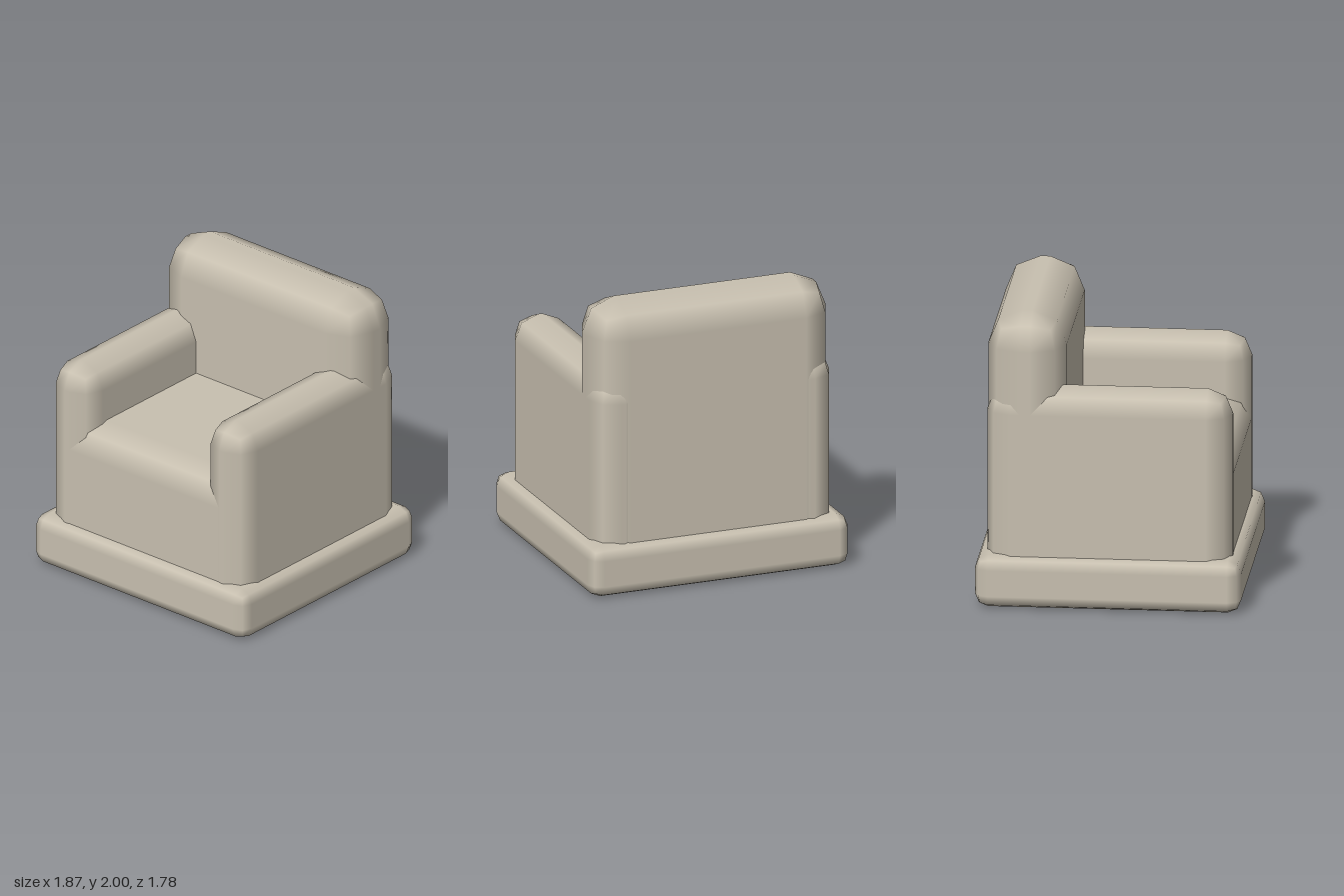
import * as THREE from 'three';
import { RoundedBoxGeometry } from 'three/addons/geometries/RoundedBoxGeometry.js';

export function createModel() {
  const group = new THREE.Group();
  group.name = 'armchair';
  const fabric = new THREE.MeshStandardMaterial({ color: 0xc8c0b0 });
  fabric.name = 'beige fabric';

  // Soft block given by its extents; one segment gives two facets per rounded edge
  function block(name, [x0, x1], [y0, y1], [z0, z1], radius) {
    const geometry = new RoundedBoxGeometry(x1 - x0, y1 - y0, z1 - z0, 1, radius);
    const mesh = new THREE.Mesh(geometry, fabric);
    mesh.name = name;
    mesh.position.set((x0 + x1) / 2, (y0 + y1) / 2, (z0 + z1) / 2);
    group.add(mesh);
  }

  block('base', [-0.935, 0.935], [0, 0.36], [-0.89, 0.89], 0.09);
  block('seat', [-0.855, 0.855], [0.1, 1.1], [-0.78, 0.817], 0.2);
  block('backrest', [-0.862, 0.862], [0.05, 2], [-0.82, -0.295], 0.23);
  block('rightArm', [-0.862, -0.5], [0.1, 1.5], [-0.82, 0.82], 0.167);
  block('leftArm', [0.5, 0.862], [0.1, 1.5], [-0.82, 0.82], 0.167);

  return group;
}
